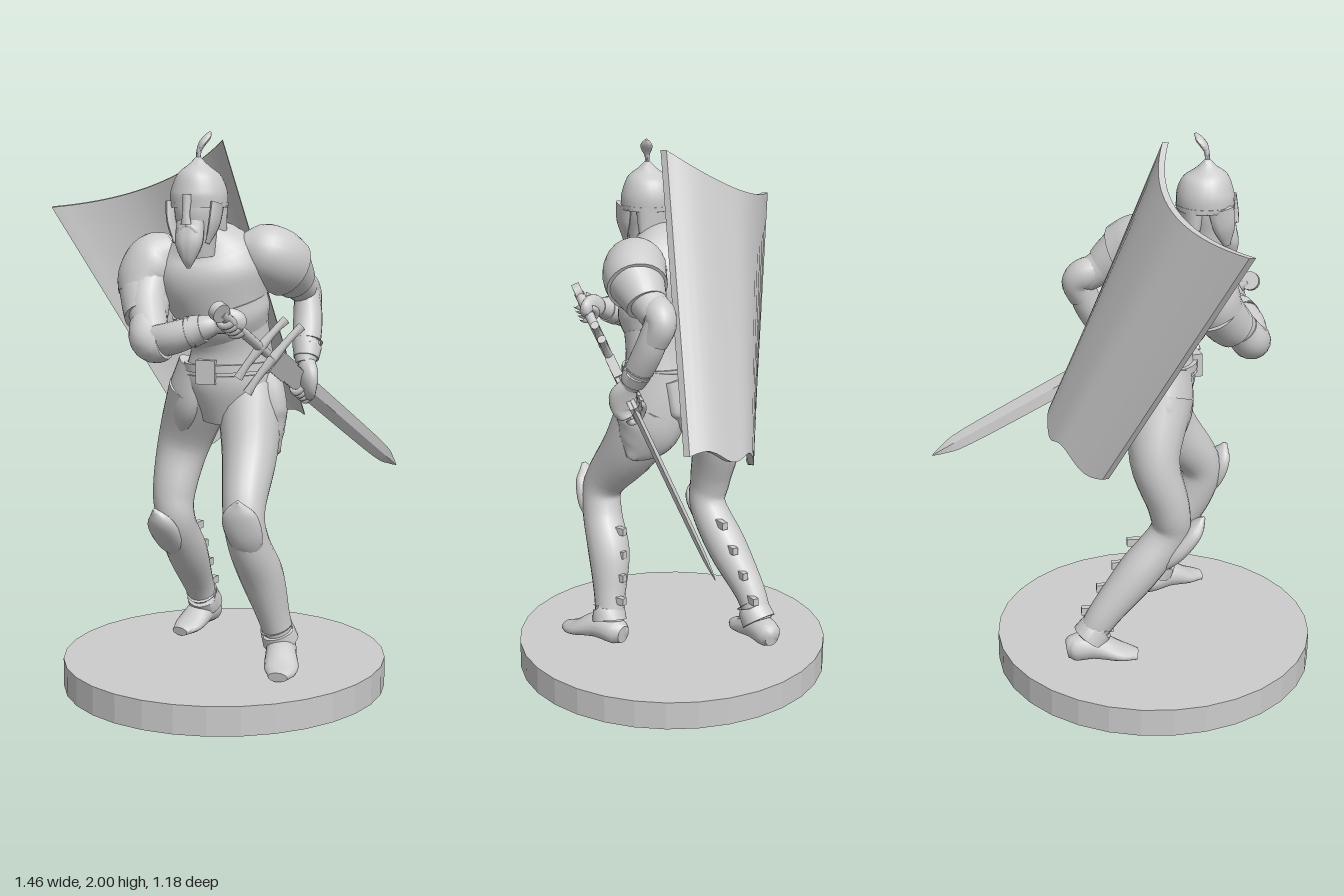
import * as THREE from 'three';
import { toCreasedNormals } from 'three/addons/utils/BufferGeometryUtils.js';

const grey = new THREE.MeshStandardMaterial({ color: 0xcccccc });
grey.name = 'statue grey';
const V = (x, y, z) => new THREE.Vector3(x, y, z);

function add(parent, name, geometry, x = 0, y = 0, z = 0) {
  const mesh = new THREE.Mesh(geometry, grey);
  mesh.name = name;
  mesh.position.set(x, y, z);
  parent.add(mesh);
  return mesh;
}

// Closed skin over a list of equal rings, capped at both ends
function skin(rings, crease) {
  const n = rings[0].length, pos = [], idx = [], last = rings.length - 1;
  rings.forEach(r => r.forEach(p => pos.push(p.x, p.y, p.z)));
  for (let i = 0; i < last; i++) for (let j = 0; j < n; j++) {
    const k = (j + 1) % n, a = i * n + j, b = i * n + k;
    idx.push(a, b, a + n, b, b + n, a + n);
  }
  [0, last].forEach(e => {
    const c = rings[e].reduce((s, p) => s.add(p), V(0, 0, 0)).divideScalar(n);
    const ci = pos.length / 3;
    pos.push(c.x, c.y, c.z);
    for (let j = 0; j < n; j++) {
      const a = e * n + j, b = e * n + (j + 1) % n;
      if (e) idx.push(ci, a, b); else idx.push(ci, b, a);
    }
  });
  const g = new THREE.BufferGeometry();
  g.setAttribute('position', new THREE.Float32BufferAttribute(pos, 3));
  g.setIndex(idx);
  g.computeVertexNormals();
  return toCreasedNormals(g, crease);
}

// Smooth organic form through rows of [x, y, z, radius along ref, other radius]
function limb(parent, name, rows, ref = V(1, 0, 0), n = 18, steps = 5, crease = 1.0) {
  const path = new THREE.CatmullRomCurve3(rows.map(r => V(r[0], r[1], r[2])));
  const size = new THREE.CatmullRomCurve3(rows.map(r => V(r[3], r[4] ?? r[3], 0)));
  path.curveType = size.curveType = 'catmullrom';
  const rings = [], total = (rows.length - 1) * steps;
  for (let i = 0; i <= total; i++) {
    const t = i / total, c = path.getPoint(t), s = size.getPoint(t), d = path.getTangent(t);
    const a = ref.clone().addScaledVector(d, -ref.dot(d)).normalize();
    const b = d.clone().cross(a);
    rings.push(Array.from({ length: n }, (_, j) => {
      const w = j / n * Math.PI * 2;
      return c.clone().addScaledVector(a, Math.cos(w) * s.x).addScaledVector(b, Math.sin(w) * s.y);
    }));
  }
  return add(parent, name, skin(rings, crease));
}

function group(parent, name) {
  const g = new THREE.Group();
  g.name = name;
  parent.add(g);
  return g;
}

function buildTorso(root) {
  const g = group(root, 'torso'), side = V(0.83, 0, 0.56);
  limb(g, 'body', [[-.12, .98, .02, .1, .1], [-.12, 1.12, .03, .165, .135], [-.125, 1.25, .04, .145, .12],
    [-.155, 1.36, .04, .16, .135], [-.19, 1.5, .03, .2, .155], [-.22, 1.6, .04, .16, .125], [-.26, 1.67, .07, .06, .06]], side, 28);
  limb(g, 'breastplateEdge', [[-.135, 1.3, .04, .15, .125], [-.155, 1.35, .04, .172, .148], [-.17, 1.4, .038, .175, .15]], side, 28);
  limb(g, 'belt', [[-.122, 1.16, .035, .17, .14], [-.124, 1.2, .035, .168, .138]], side, 28, 2);
  const pouch = add(g, 'beltPouch', new THREE.BoxGeometry(.07, .085, .045), -.245, 1.17, .085);
  pouch.rotation.y = -.8;
  // Hip plates hanging over the thighs
  limb(g, 'leftTasset', [[-.03, 1.2, .05, .1, .07], [-.025, 1.08, .065, .13, .08], [-.02, .98, .085, .122, .08],
    [-.01, .91, .12, .08, .05], [.005, .865, .15, .015, .012]], V(0, 0, 1));
  limb(g, 'rightTasset', [[-.23, 1.18, -.04, .09, .05], [-.255, 1.05, -.08, .1, .05], [-.26, .95, -.12, .06, .03],
    [-.26, .89, -.14, .01, .01]], V(0, 0, 1));
  limb(g, 'backSkirt', [[-.06, 1.18, -.05, .12, .05], [-.06, 1.05, -.08, .13, .05], [-.05, .98, -.08, .08, .03],
    [-.05, .95, -.08, .02, .01]], side);
}

function buildHead(root) {
  const g = group(root, 'head');
  g.position.set(-.28, 0, .095);
  g.rotation.y = -.9;
  limb(g, 'face', [[0, 1.58, 0, .06, .06], [0, 1.66, .01, .066, .07], [0, 1.73, .01, .078, .085], [0, 1.8, 0, .08, .085]]);
  limb(g, 'helmet', [[0, 1.745, -.005, .1, .1], [0, 1.8, -.005, .098, .1], [0, 1.855, 0, .075, .078],
    [0, 1.89, 0, .034, .034], [0, 1.915, 0, .009, .009]], V(1, 0, 0), 24);
  limb(g, 'helmetRim', [[0, 1.745, -.005, .102, .102], [0, 1.762, -.005, .102, .103]], V(1, 0, 0), 24, 2);
  limb(g, 'neckGuard', [[0, 1.76, -.055, .085, .045], [0, 1.68, -.06, .08, .035], [0, 1.61, -.07, .075, .018]]);
  limb(g, 'noseGuard', [[0, 1.79, .09, .018, .015], [0, 1.73, .1, .014, .014], [0, 1.69, .103, .02, .014]], V(1, 0, 0), 8);
  limb(g, 'beard', [[0, 1.7, .065, .05, .03], [0, 1.63, .08, .05, .035], [0, 1.58, .085, .03, .025], [0, 1.54, .085, .006, .006]]);
  for (const s of [-1, 1]) {
    limb(g, 'cheekGuard', [[s * .085, 1.76, .03, .016, .045], [s * .078, 1.69, .045, .014, .038],
      [s * .06, 1.625, .06, .007, .012]], V(1, 0, 0), 12);
    limb(g, 'moustache', [[0, 1.69, .09, .014], [s * .03, 1.665, .088, .013], [s * .04, 1.61, .08, .004]], V(0, 0, 1), 8);
  }
  limb(g, 'plume', [[0, 1.9, 0, .009, .009], [.002, 1.935, -.002, .009, .009], [.01, 1.96, -.01, .02, .011],
    [.022, 1.982, -.026, .02, .011], [.03, 2.0, -.038, .004, .004]], V(.78, 0, .62), 10);
}

function buildArms(root) {
  const l = group(root, 'leftArm'), r = group(root, 'rightArm'), up = V(0, 0, 1);
  limb(l, 'upperArm', [[-.04, 1.57, .11, .09], [.07, 1.51, .095, .075], [.175, 1.44, .04, .055]], up);
  limb(l, 'pauldron', [[-.13, 1.61, .105, .04], [-.07, 1.59, .12, .1], [0, 1.56, .128, .115], [.065, 1.525, .115, .108]], up, 24);
  limb(l, 'shoulderLame', [[.045, 1.535, .118, .102], [.09, 1.5, .095, .086], [.12, 1.475, .08, .074]], up, 24);
  limb(l, 'elbowGuard', [[.12, 1.475, .06, .05], [.17, 1.455, .035, .058], [.2, 1.42, .025, .052], [.19, 1.36, .05, .048]], up);
  limb(l, 'forearm', [[.19, 1.44, .035, .045], [.178, 1.34, .065, .053], [.145, 1.24, .11, .05], [.125, 1.18, .14, .035]], up);
  limb(l, 'vambraceCuff', [[.155, 1.255, .105, .055], [.133, 1.2, .13, .046]], up, 18, 2);
  limb(l, 'hand', [[.13, 1.19, .14, .03], [.12, 1.14, .165, .05, .03], [.12, 1.09, .165, .042, .022], [.13, 1.06, .15, .02, .012]], up);

  limb(r, 'upperArm', [[-.36, 1.53, -.09, .08], [-.42, 1.42, -.03, .07], [-.455, 1.3, .08, .06]], V(1, 0, 0));
  limb(r, 'pauldron', [[-.29, 1.61, -.06, .05], [-.34, 1.565, -.09, .1], [-.38, 1.5, -.1, .108], [-.405, 1.43, -.08, .095]], V(1, 0, 0), 24);
  limb(r, 'shoulderLame', [[-.405, 1.45, -.08, .09], [-.425, 1.39, -.03, .082], [-.44, 1.36, 0, .074]], V(1, 0, 0), 24);
  limb(r, 'elbowGuard', [[-.45, 1.35, .03, .06], [-.465, 1.3, .07, .066], [-.46, 1.28, .12, .062], [-.44, 1.29, .15, .056]], V(0, 1, 0));
  limb(r, 'forearm', [[-.465, 1.285, .08, .055], [-.42, 1.31, .18, .056], [-.35, 1.345, .25, .045], [-.31, 1.36, .28, .032]], V(0, 1, 0));
  limb(r, 'vambraceCuff', [[-.38, 1.33, .22, .056], [-.345, 1.345, .255, .048]], V(0, 1, 0), 18, 2);
  limb(r, 'hand', [[-.32, 1.355, .275, .03], [-.285, 1.37, .3, .045, .028], [-.25, 1.365, .32, .04, .025], [-.23, 1.35, .33, .015]], V(0, 1, 0));
}

function buildLeg(root, name, o) {
  const g = group(root, name);
  limb(g, 'legAndGreave', o.leg, o.side, 20);
  limb(g, 'kneeGuard', o.guard, o.side, 14);
  limb(g, 'foot', o.foot, o.side, 16);
  // Ankle cuff and calf buckles
  const [k, a] = [V(...o.leg[3]), V(...o.leg[6])];
  const q = k.clone().lerp(a, .85);
  limb(g, 'ankleCuff', [[q.x, q.y, q.z, .06], [a.x, a.y, a.z, .066]], o.side, 18, 2);
  for (let i = 0; i < 4; i++) {
    const c = k.clone().lerp(a, .1 + i * .22).addScaledVector(o.back, .095 - i * .008);
    const b = add(g, 'buckle', new THREE.BoxGeometry(.022, .028, .05));
    b.position.copy(c).addScaledVector(o.side, .02);
    b.lookAt(b.position.clone().add(o.back));
  }
}

function buildSword(root) {
  const g = group(root, 'sword');
  const start = V(-.34, 1.41, .36), d = V(.73, .7, -.17).sub(start), len = d.length();
  d.normalize();
  const x = V(.66, .73, .18).addScaledVector(d, -V(.66, .73, .18).dot(d)).normalize();
  g.applyMatrix4(new THREE.Matrix4().makeBasis(x, d, x.clone().cross(d)));
  g.position.copy(start);
  add(g, 'pommel', new THREE.CylinderGeometry(.034, .034, .03, 16).rotateX(Math.PI / 2));
  add(g, 'grip', new THREE.CylinderGeometry(.016, .019, .32, 12), 0, .17, 0);
  for (const [y, h] of [[.28, .13], [.37, .15]]) for (const s of [-1, 1])
    limb(g, 'crossguard', [[0, y, 0, .018], [s * h * .6, y + .003, 0, .013], [s * h, y + .012, 0, .016]], V(0, 0, 1), 10, 3);
  add(g, 'scabbardThroat', new THREE.BoxGeometry(.085, .1, .035), 0, .43, 0);
  add(g, 'scabbardSleeve', new THREE.BoxGeometry(.074, .16, .03), 0, .56, 0);
  // Diamond-section blade
  limb(g, 'blade', [[0, .36, 0, .04, .012], [0, .8, 0, .038, .012], [0, len - .16, 0, .033, .01], [0, len - .05, 0, .016, .006],
    [0, len, 0, .001, .001]], V(1, 0, 0), 4, 4, .4);
  for (const y of [.05, .56]) for (let i = 0; i < 4; i++) {
    const r = y < .1 ? .03 : .048;
    const f = add(g, 'finger', new THREE.TorusGeometry(r, .012, 8, 14, Math.PI * 1.3).rotateX(Math.PI / 2), 0, y + i * .024, 0);
    f.scale.z = y < .1 ? 1 : .6;
    f.rotation.y = -.6;
  }
}

// Curved tapering shield on the back, with scooped top and wavy lower edge
function buildShield(root) {
  const through = (a, m, b) => new THREE.QuadraticBezierCurve3(a, m.clone().multiplyScalar(2).addScaledVector(a, -.5).addScaledVector(b, -.5), b);
  const top = through(V(-.635, 1.74, -.355), V(-.3, 1.815, -.225), V(-.145, 1.975, .02));
  const low = through(V(-.08, .83, -.3), V(.135, .92, -.265), V(.25, .96, -.075));
  const inward = V(-.51, -.1, .83).multiplyScalar(.026), rings = [], n = 20;
  for (let i = 0; i <= n; i++) {
    const u = i / n, t = top.getPoint(u), b = low.getPoint(u);
    b.y -= .02 * Math.sin(u * Math.PI * 4);
    rings.push([t, t.clone().add(inward), b.clone().add(inward), b]);
  }
  add(root, 'shield', skin(rings, .6));
}

export function createModel() {
  const root = new THREE.Group();
  root.name = 'armouredWarrior';
  add(root, 'roundBase', toCreasedNormals(new THREE.CylinderGeometry(.59, .59, .105, 32), .1), -.135, .0525, 0);
  buildTorso(root);
  buildHead(root);
  buildArms(root);
  buildLeg(root, 'leftLeg', {
    side: V(.83, 0, .56), back: V(.56, 0, -.83),
    leg: [[-.06, 1.08, .06, .12, .13], [-.11, .88, .15, .1, .11], [-.195, .7, .262, .075, .078], [-.178, .58, .268, .074, .076],
      [-.11, .45, .24, .078, .08], [-.06, .3, .235, .059, .062], [-.03, .2, .235, .052, .055]],
    guard: [[-.265, .755, .345, .008], [-.25, .7, .328, .06, .03], [-.215, .61, .315, .06, .035], [-.175, .53, .295, .02]],
    foot: [[.015, .16, .18, .03, .035], [-.01, .165, .21, .052, .05], [-.055, .17, .28, .055, .05], [-.1, .14, .36, .06, .028], [-.14, .128, .405, .035, .018]]
  });
  buildLeg(root, 'rightLeg', {
    side: V(.54, 0, .84), back: V(.84, 0, -.54),
    leg: [[-.19, 1.08, -.07, .12, .12], [-.215, .88, -.16, .1, .09], [-.265, .7, -.145, .08, .075], [-.26, .59, -.135, .07, .07],
      [-.18, .45, -.21, .076, .076], [-.09, .3, -.3, .058, .06], [-.04, .2, -.335, .05, .052]],
    guard: [[-.375, .655, -.085, .008], [-.345, .6, -.095, .055, .03], [-.29, .52, -.14, .055, .035], [-.23, .45, -.185, .02]],
    foot: [[.025, .16, -.385, .03, .035], [0, .165, -.37, .05, .05], [-.06, .17, -.33, .055, .05], [-.14, .14, -.28, .058, .028], [-.195, .128, -.25, .033, .017]]
  });
  buildSword(root);
  buildShield(root);
  return root;
}
